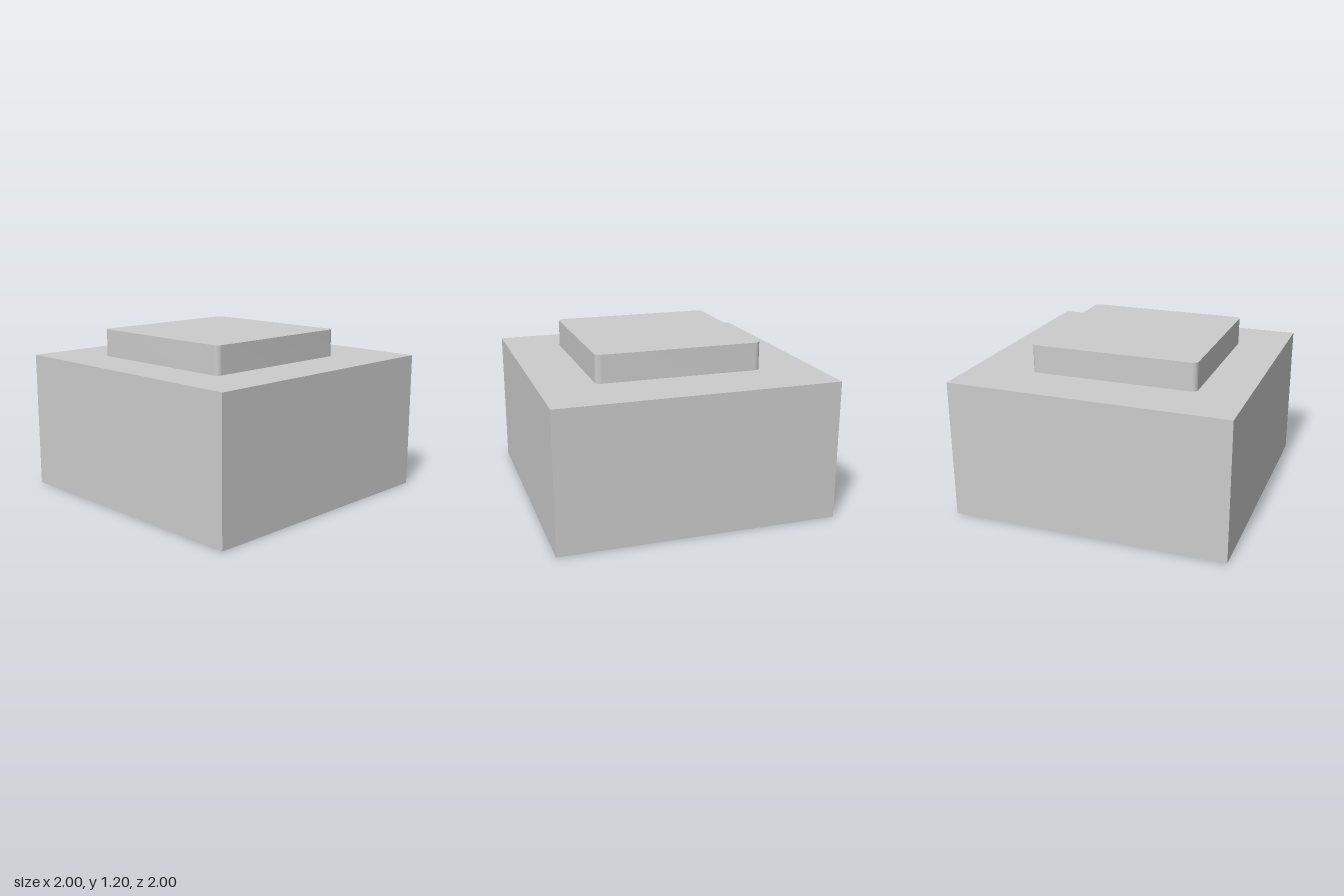
import * as THREE from 'three';
import { toCreasedNormals } from 'three/addons/utils/BufferGeometryUtils.js';

// Square outline with rounded corners, centred on the origin
function roundedSquare(half, r) {
  const shape = new THREE.Shape();
  const c = half - r;
  [[c, c], [-c, c], [-c, -c], [c, -c]].forEach(([x, y], i) => {
    shape.absarc(x, y, r, i * Math.PI / 2, (i + 1) * Math.PI / 2, false);
  });
  shape.closePath();
  return shape;
}

export function createModel() {
  const group = new THREE.Group();
  const material = new THREE.MeshStandardMaterial({ color: 0xcccccc });

  // Main block
  const base = new THREE.Mesh(new THREE.BoxGeometry(2, 1, 2), material);
  base.name = 'baseBlock';
  base.position.y = 0.5;
  group.add(base);

  // Raised pad with rounded upright edges, set slightly off centre
  const padGeometry = new THREE.ExtrudeGeometry(roundedSquare(0.6, 0.04), {
    depth: 0.2, bevelEnabled: false, curveSegments: 8,
  });
  padGeometry.rotateX(-Math.PI / 2);
  const pad = new THREE.Mesh(toCreasedNormals(padGeometry, Math.PI / 5), material);
  pad.name = 'raisedPad';
  pad.position.set(-0.05, 1, 0);
  group.add(pad);

  return group;
}
